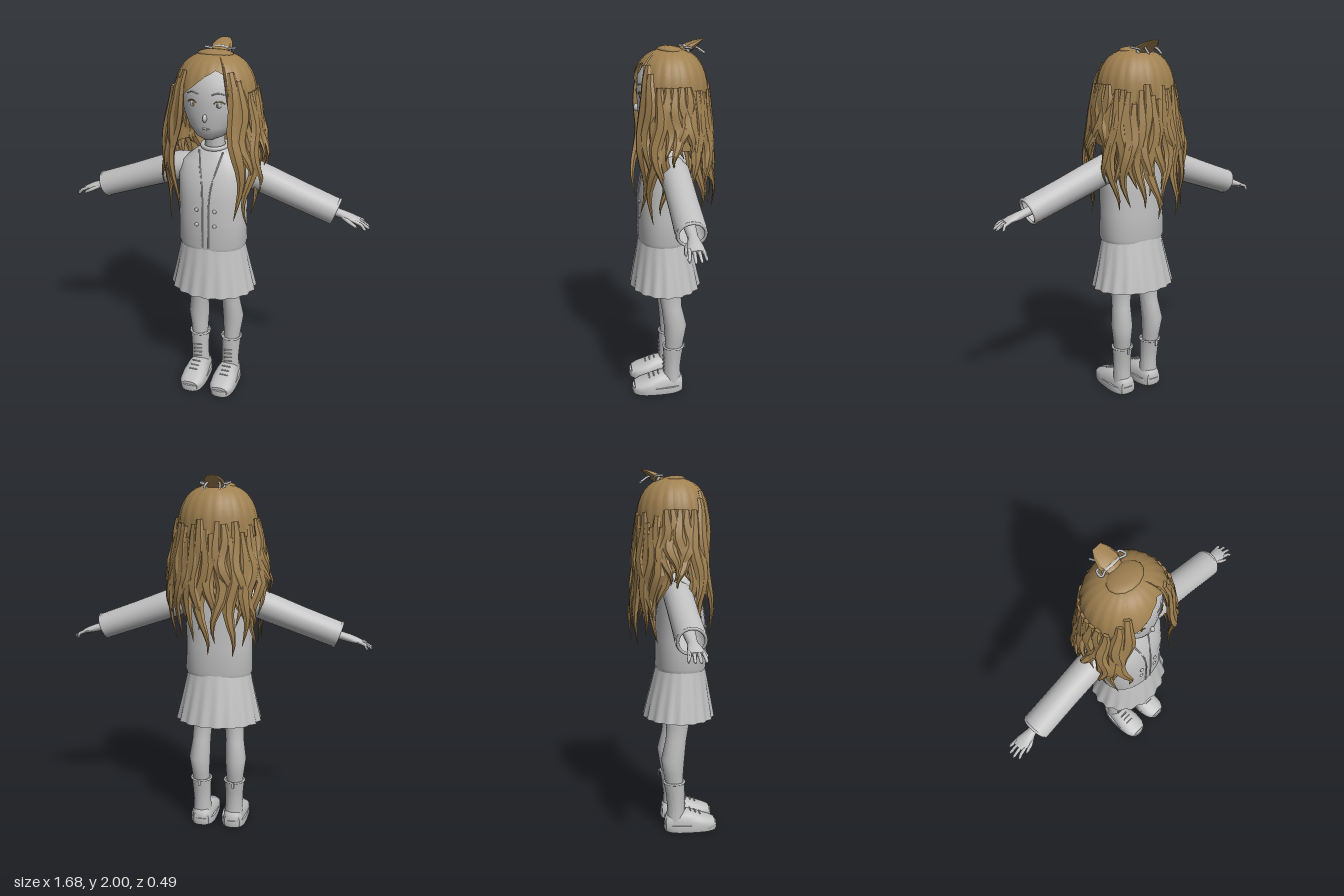
import * as THREE from 'three';
import { toCreasedNormals } from 'three/addons/utils/BufferGeometryUtils.js';

const V = (x, y, z) => new THREE.Vector3(x, y, z);
const X = V(1, 0, 0), Y = V(0, 1, 0), Z = V(0, 0, 1);

// piecewise linear lookup in [key, value] pairs with rising keys
function lerpTable(table, k) {
  if (k <= table[0][0]) return table[0][1];
  for (let i = 1; i < table.length; i++) {
    const [k0, v0] = table[i - 1], [k1, v1] = table[i];
    if (k <= k1) return v0 + (v1 - v0) * (k - k0) / (k1 - k0);
  }
  return table[table.length - 1][1];
}

// skin over stations [x, y, z, a, b]; `ref` sets the direction of radius b
function loft(st, { n = 20, ref = Z, axis = null, caps = true, p = 1, ripple = null, floor = null, crease = 0.7 } = {}) {
  const pos = [], idx = [], c = st.map(s => V(s[0], s[1], s[2]));
  st.forEach((s, i) => {
    const T = axis ? axis.clone() : c[Math.min(i + 1, st.length - 1)].clone().sub(c[Math.max(i - 1, 0)]).normalize();
    const A = T.clone().cross(ref).normalize(), B = A.clone().cross(T);
    for (let j = 0; j < n; j++) {
      const t = j / n * Math.PI * 2, k = ripple ? ripple(t, i / (st.length - 1)) : 1;
      const pow = v => Math.sign(v) * Math.abs(v) ** p;
      const P = c[i].clone().addScaledVector(A, pow(Math.cos(t)) * s[3] * k).addScaledVector(B, pow(Math.sin(t)) * s[4] * k);
      if (floor !== null) P.y = Math.max(P.y, floor);
      pos.push(P.x, P.y, P.z);
    }
  });
  for (let i = 0; i < st.length - 1; i++) for (let j = 0; j < n; j++) {
    const a = i * n + j, b = i * n + (j + 1) % n;
    idx.push(a, a + n, b + n, a, b + n, b);
  }
  if (caps) {
    const m = st.length * n, e = m - n, last = c[c.length - 1];
    pos.push(c[0].x, c[0].y, c[0].z, last.x, last.y, last.z);
    for (let j = 0; j < n; j++) {
      const k = (j + 1) % n;
      idx.push(m, j, k, m + 1, e + k, e + j);
    }
  }
  const g = new THREE.BufferGeometry();
  g.setAttribute('position', new THREE.Float32BufferAttribute(pos, 3));
  g.setIndex(idx);
  return toCreasedNormals(g, crease);
}

export function createModel() {
  const grey = new THREE.MeshStandardMaterial({ color: 0xc0c0c0, side: THREE.DoubleSide });
  grey.name = 'light grey';
  const brown = new THREE.MeshStandardMaterial({ color: 0x9f8050, side: THREE.DoubleSide });
  brown.name = 'hair brown';
  const root = new THREE.Group();
  root.name = 'girl';
  const add = (name, geo, mat = grey, parent = root) => {
    const m = new THREE.Mesh(geo, mat);
    m.name = name;
    parent.add(m);
    return m;
  };
  const tube = (name, pts, r, mat = grey) =>
    add(name, new THREE.TubeGeometry(new THREE.CatmullRomCurve3(pts.map(q => V(...q))), 20, r, 6), mat);
  const ball = (name, x, y, z, sx, sy, sz, mat = grey) => {
    const m = add(name, new THREE.SphereGeometry(1, 14, 10), mat);
    m.position.set(x, y, z);
    m.scale.set(sx, sy, sz);
    return m;
  };
  const up = { axis: Y, n: 32, crease: 1 };

  // head, neck and face
  add('head', loft([[0, 1.53, 0.11, 0.025, 0.03], [0, 1.55, 0.09, 0.075, 0.075], [0, 1.6, 0.06, 0.122, 0.117],
    [0, 1.66, 0.045, 0.152, 0.138], [0, 1.73, 0.035, 0.168, 0.15], [0, 1.82, 0.03, 0.162, 0.15],
    [0, 1.89, 0.02, 0.12, 0.115], [0, 1.92, 0.02, 0.04, 0.04]], up));
  add('neck', loft([[0, 1.42, 0.015, 0.062, 0.055], [0, 1.5, 0.02, 0.052, 0.05], [0, 1.62, 0.03, 0.055, 0.055]], up));
  ball('nose', 0, 1.655, 0.187, 0.011, 0.02, 0.016);
  ball('mouth', 0, 1.598, 0.173, 0.022, 0.006, 0.008);
  for (const s of [-1, 1]) {
    tube('eyelash', [[s * 0.045, 1.73, 0.181], [s * 0.062, 1.742, 0.179], [s * 0.085, 1.738, 0.167], [s * 0.098, 1.728, 0.159]], 0.003, brown);
    ball('eye', s * 0.07, 1.723, 0.171, 0.013, 0.015, 0.006);
    ball('iris', s * 0.063, 1.722, 0.176, 0.005, 0.01, 0.004, brown);
    tube('eyebrow', [[s * 0.035, 1.773, 0.18], [s * 0.065, 1.782, 0.174], [s * 0.1, 1.772, 0.156]], 0.003);
  }

  // jacket with collar, front opening and buttons
  add('jacket', loft([[0, 0.92, 0.05, 0.183, 0.138], [0, 0.94, 0.05, 0.19, 0.142], [0, 1.08, 0.05, 0.186, 0.138],
    [0, 1.2, 0.05, 0.187, 0.135], [0, 1.32, 0.04, 0.192, 0.122], [0, 1.39, 0.027, 0.172, 0.1],
    [0, 1.44, 0.02, 0.11, 0.078], [0, 1.47, 0.02, 0.068, 0.06]], { ...up, p: 0.9 }));
  const collar = add('collar', new THREE.TorusGeometry(0.066, 0.012, 8, 28));
  collar.position.set(0, 1.472, 0.022);
  collar.rotation.x = Math.PI / 2 + 0.1;
  for (const s of [-1, 1]) {
    tube('jacketEdge', [[s * 0.065, 1.455, 0.085], [s * 0.05, 1.39, 0.126], [s * 0.028, 1.3, 0.164], [s * 0.018, 1.2, 0.185], [s * 0.018, 0.94, 0.192]], 0.004);
    for (const y of [1.155, 1.07]) ball('button', s * 0.05, y, 0.186, 0.011, 0.011, 0.007);
  }

  // pleated skirt, open below, with shorts inside
  add('skirt', loft([[0, 0.945, 0.05, 0.178, 0.136], [0, 0.88, 0.048, 0.19, 0.15], [0, 0.76, 0.043, 0.215, 0.176], [0, 0.65, 0.04, 0.24, 0.197]],
    { axis: Y, n: 96, caps: false, ripple: (t, v) => 1 + 0.028 * v * Math.sin(18 * t) }));
  add('shorts', loft([[0, 0.74, 0.03, 0.14, 0.09], [0, 0.8, 0.035, 0.16, 0.11], [0, 0.93, 0.04, 0.165, 0.12]], up));

  for (const s of [-1, 1]) {
    const side = st => st.map(q => [s * q[0], ...q.slice(1)]);
    const aim = (m, d) => m.quaternion.setFromUnitVectors(Z, d);

    // sleeve, cuff and hand
    add('sleeve', loft(side([[0.1, 1.36, 0.015, 0.06, 0.06], [0.19, 1.338, 0.015, 0.08, 0.078], [0.3, 1.298, 0.013, 0.077, 0.078],
      [0.45, 1.243, 0.012, 0.076, 0.074], [0.655, 1.17, 0.012, 0.078, 0.071]]), { ref: Y, n: 24, caps: false }));
    const cuff = add('cuff', new THREE.TorusGeometry(0.067, 0.008, 8, 28));
    cuff.position.set(s * 0.655, 1.17, 0.012);
    aim(cuff, V(s * 0.94, -0.34, 0).normalize());
    add('hand', loft(side([[0.56, 1.2, 0.012, 0.032, 0.03], [0.68, 1.163, 0.012, 0.025, 0.022], [0.715, 1.153, 0.013, 0.033, 0.022],
      [0.755, 1.142, 0.013, 0.04, 0.017], [0.785, 1.132, 0.013, 0.036, 0.011]]), { ref: Y, n: 14, crease: 1 }));
    for (let i = 0; i < 4; i++) {
      const z = -0.016 + i * 0.02, tip = -0.027 + i * 0.027, len = [0.815, 0.837, 0.84, 0.825][i];
      add('finger', loft(side([[0.765, 1.139, z, 0.01, 0.01], [0.8, 1.126, (z + tip) / 2, 0.009, 0.009],
        [len - 0.008, 1.107, tip, 0.008, 0.008], [len, 1.1, tip, 0.003, 0.003]]), { ref: Y, n: 8, crease: 1 }));
    }
    add('thumb', loft(side([[0.7, 1.152, 0.03, 0.012, 0.012], [0.735, 1.137, 0.052, 0.011, 0.011], [0.77, 1.12, 0.062, 0.008, 0.008],
      [0.778, 1.114, 0.062, 0.003, 0.003]]), { ref: Y, n: 8, crease: 1 }));

    // leg
    add('leg', loft(side([[0.09, 0.86, 0.035, 0.07, 0.075], [0.092, 0.68, 0.028, 0.06, 0.07], [0.093, 0.6, 0.023, 0.054, 0.062],
      [0.097, 0.53, 0.015, 0.052, 0.058], [0.106, 0.42, -0.004, 0.06, 0.065], [0.102, 0.33, 0, 0.051, 0.055], [0.098, 0.22, 0.01, 0.042, 0.045]].reverse()), up));

    // ankle boot
    const cx = 0.092;
    add('bootShaft', loft(side([[0.094, 0.06, 0.012, 0.055, 0.052], [0.095, 0.14, 0.015, 0.05, 0.049], [0.097, 0.22, 0.01, 0.053, 0.053], [0.098, 0.285, 0.005, 0.058, 0.06]]), up));
    const rim = add('bootRim', new THREE.TorusGeometry(0.058, 0.006, 8, 28));
    rim.position.set(s * 0.098, 0.283, 0.005);
    rim.rotation.x = Math.PI / 2;
    add('shoe', loft(side([[cx, 0.03, -0.045, 0.045, 0.055], [cx, 0.03, -0.025, 0.056, 0.07], [cx, 0.03, 0.04, 0.062, 0.085],
      [cx, 0.03, 0.085, 0.069, 0.086], [cx, 0.03, 0.14, 0.075, 0.065], [cx, 0.03, 0.2, 0.07, 0.043], [cx, 0.03, 0.235, 0.05, 0.028]]),
    { ref: Y, axis: Z, n: 24, p: 0.8, floor: 0.005, crease: 1 }));
    add('sole', loft(side([[cx, 0, 0.098, 0.074, 0.148], [cx, 0.012, 0.098, 0.078, 0.152], [cx, 0.04, 0.098, 0.075, 0.149]]), { ...up, p: 0.72 }));
    add('heelTab', new THREE.BoxGeometry(0.014, 0.035, 0.006)).position.set(s * 0.098, 0.275, -0.062);
    for (let i = 0; i < 7; i++) {
      const onShaft = i > 2, y = onShaft ? 0.13 + (i - 3) * 0.027 : 0.093 + i * 0.011;
      const lace = add('lace', new THREE.CapsuleGeometry(0.004, 0.045, 3, 6));
      lace.position.set(s * 0.095, y, onShaft ? 0.064 : 0.15 - i * 0.027);
      lace.rotation.z = Math.PI / 2 + (onShaft ? 0.15 : 0);
    }
  }

  // hair cap: ribbed shell whose lower edge rises around the face
  const hair = new THREE.Group();
  hair.name = 'hair';
  root.add(hair);
  const edge = [[-180, 1.44], [-60, 1.47], [-43, 1.62], [-35, 1.76], [0, 1.86], [18, 1.89], [29, 1.87], [35, 1.62], [60, 1.47], [180, 1.44]];
  const cap = new THREE.PlaneGeometry(1, 1, 88, 14), cp = cap.attributes.position, cuv = cap.attributes.uv;
  for (let i = 0; i < cp.count; i++) {
    const deg = cuv.getX(i) * 360 - 180, t = 1 - cuv.getY(i), f = deg * Math.PI / 180;
    const y = 1.955 - (1.955 - lerpTable(edge, deg)) * t * t, h = (y - 1.74) / 0.215;
    const r = (h > 0 ? Math.max(0, 1 - h * h) ** 0.38 : 1 - h * 0.03) * (1 + 0.018 * Math.abs(Math.sin(f * 11)));
    cp.setXYZ(i, Math.sin(f) * r * 0.212, y, 0.01 + Math.cos(f) * r * 0.197);
  }
  add('hairCap', toCreasedNormals(cap, 0.25), brown, hair);

  // wavy tapering locks hanging around the head
  const rxT = [[1.05, 0.235], [1.2, 0.25], [1.45, 0.272], [1.6, 0.235], [1.8, 0.205], [1.92, 0.16]];
  const rzT = [[1.05, 0.23], [1.2, 0.228], [1.45, 0.213], [1.6, 0.203], [1.8, 0.19], [1.92, 0.155]];
  let seed = 7;
  const rnd = () => (seed = (seed * 16807) % 2147483647) / 2147483647;
  const lock = (deg, y0, y1, w, k = 1) => {
    const st = [], ph = rnd() * 6.28, amp = 0.06 + rnd() * 0.06, f0 = deg * Math.PI / 180;
    for (let i = 0; i <= 11; i++) {
      const t = i / 11, y = y0 + (y1 - y0) * t;
      const f = f0 + amp * Math.sin(t * 9 + ph) * Math.min(1, t * 2);
      const r = k + 0.05 * t * Math.sin(t * 11 + ph * 2);
      const taper = Math.min(1, 0.5 + t * 2) * Math.min(1, (1 - t) * 2.2 + 0.04);
      st.push([Math.sin(f) * lerpTable(rxT, y) * r, y, 0.01 + Math.cos(f) * lerpTable(rzT, y) * r, w * taper, w * 0.5 * taper]);
    }
    add('hairLock', loft(st, { n: 6, ref: V(Math.sin(f0), 0, Math.cos(f0)), crease: 0.4 }), brown, hair);
  };
  for (const s of [-1, 1]) {
    lock(s * 41, 1.88, 1.12, 0.038, 1.02);
    lock(s * 50, 1.84, 1.3, 0.036, 1.05);
    lock(s * 57, 1.74, 1.07, 0.032, 1.03);
    lock(s * 66, 1.78, 1.24, 0.034, 1.08);
    lock(s * 72, 1.6, 1.12, 0.026, 0.98);
    for (const d of [78, 88, 98, 107]) lock(s * d, 1.78, 1.36 + rnd() * 0.08, 0.036, 1.05);
  }
  for (let i = 0; i < 17; i++) {
    const d = 114 + i * 8.25;
    lock(d, 1.8 - rnd() * 0.12, i % 2 ? 1.07 + rnd() * 0.1 : 1.2 + rnd() * 0.14, 0.036, 1.03);
    lock(d + 4, 1.65, 1.25 + rnd() * 0.18, 0.034, 0.93);
  }

  // crown bun, short tail and ribbon
  const bun = ball('crownBun', 0, 1.945, 0.01, 0.095, 0.022, 0.07, brown);
  bun.rotation.x = -0.08;
  add('crownTail', loft([[0, 1.935, -0.05, 0.045, 0.025], [0, 1.96, -0.09, 0.058, 0.024], [0, 1.982, -0.13, 0.045, 0.014], [0, 1.997, -0.16, 0.025, 0.003]],
    { ref: Y, n: 10, crease: 0.4 }), brown);
  const band = add('ribbonBand', new THREE.TorusGeometry(0.05, 0.007, 6, 24));
  band.position.set(0, 1.945, -0.075);
  band.scale.y = 0.55;
  band.rotation.x = 0.5;
  for (const s of [-1, 1]) {
    tube('ribbonLoop', [[s * 0.035, 1.955, -0.07], [s * 0.075, 1.962, -0.055], [s * 0.07, 1.957, -0.09], [s * 0.04, 1.95, -0.095]], 0.006);
    tube('ribbonTail', [[s * 0.02, 1.965, -0.1], [s * 0.035, 1.955, -0.13], [s * 0.04, 1.93, -0.165]], 0.006);
  }
  return root;
}
